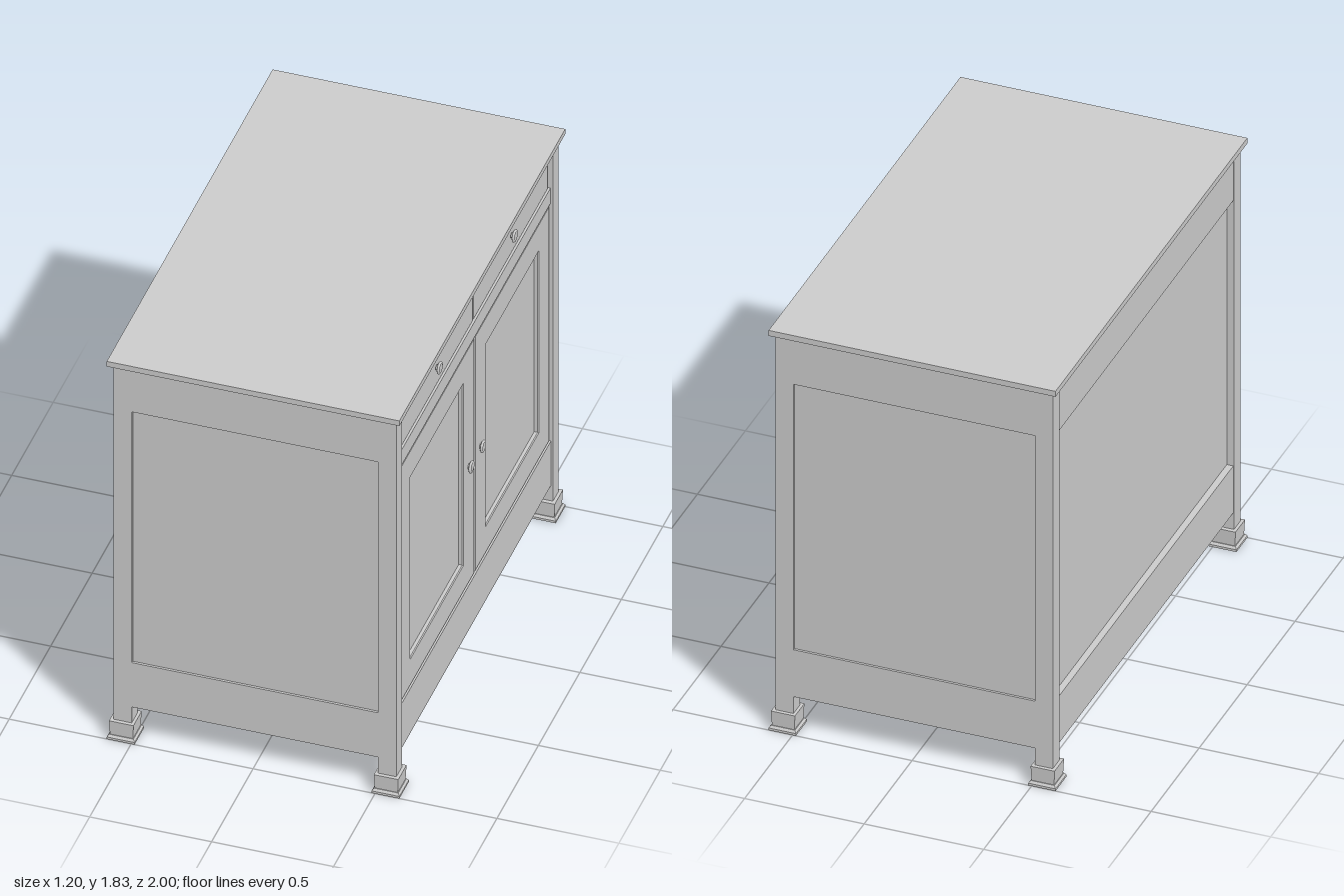
import * as THREE from 'three';

const material = new THREE.MeshStandardMaterial({ color: 0xcccccc, flatShading: true });
const smooth = new THREE.MeshStandardMaterial({ color: 0xcccccc });

function add(parent, name, geometry, mat = material) {
  const mesh = new THREE.Mesh(geometry, mat);
  mesh.name = name;
  parent.add(mesh);
  return mesh;
}

// Box given by its limits on each axis
function block(parent, name, x0, x1, y0, y1, z0, z1) {
  const mesh = add(parent, name, new THREE.BoxGeometry(x1 - x0, y1 - y0, z1 - z0));
  mesh.position.set((x0 + x1) / 2, (y0 + y1) / 2, (z0 + z1) / 2);
  return mesh;
}

// Square block whose bottom and top half-widths differ
function taperedBlock(parent, name, bottom, top, y0, y1) {
  const geometry = new THREE.CylinderGeometry(top * Math.SQRT2, bottom * Math.SQRT2, y1 - y0, 4);
  geometry.rotateY(Math.PI / 4);
  const mesh = add(parent, name, geometry);
  mesh.position.y = (y0 + y1) / 2;
}

function rectangle(Type, w, h) {
  return new Type([
    new THREE.Vector2(-w / 2, -h / 2), new THREE.Vector2(w / 2, -h / 2),
    new THREE.Vector2(w / 2, h / 2), new THREE.Vector2(-w / 2, h / 2),
  ]);
}

// Upright board with bevelled edges, facing +z, back at z = 0
function board(w, h, depth, bevel, hole) {
  const shape = rectangle(THREE.Shape, w - 2 * bevel, h - 2 * bevel);
  if (hole) shape.holes.push(rectangle(THREE.Path, hole[0] + 2 * bevel, hole[1] + 2 * bevel));
  return new THREE.ExtrudeGeometry(shape, {
    depth: depth - bevel, bevelEnabled: true, bevelSegments: 1,
    bevelSize: bevel, bevelThickness: Math.min(bevel, 0.005),
  });
}

// Round pull, turned around the z axis
function knob(parent, x, y, z) {
  const profile = [[0.012, 0], [0.012, 0.006], [0.022, 0.008], [0.027, 0.012],
    [0.025, 0.017], [0.019, 0.019], [0.016, 0.017], [0, 0.018]];
  const geometry = new THREE.LatheGeometry(profile.map(p => new THREE.Vector2(...p)), 24);
  geometry.rotateX(Math.PI / 2);
  add(parent, 'knob', geometry, smooth).position.set(x, y, z);
}

export function createModel() {
  const cabinet = new THREE.Group();
  cabinet.name = 'cabinet';

  // Carcass and worktop
  block(cabinet, 'carcass', -0.55, 0.55, 0.16, 1.805, -0.965, 0.965);
  block(cabinet, 'worktop', -0.6, 0.6, 1.805, 1.83, -1, 1);

  // Corner posts on stepped feet
  for (const sx of [-1, 1]) for (const sz of [-1, 1]) {
    const post = block(cabinet, 'cornerPost', -0.0375, 0.0375, 0.08, 1.805, -0.0335, 0.0335);
    post.position.x = sx * 0.5425;
    post.position.z = sz * 0.944;
    const foot = new THREE.Group();
    foot.name = 'foot';
    foot.position.set(sx * 0.543, 0, sz * 0.943);
    taperedBlock(foot, 'footBlock', 0.047, 0.05, 0.018, 0.085);
    taperedBlock(foot, 'footBase', 0.057, 0.057, 0, 0.01);
    taperedBlock(foot, 'footMoulding', 0.057, 0.05, 0.01, 0.02);
    cabinet.add(foot);
  }

  // Rails framing the recessed end panels
  for (const s of [-1, 1]) {
    const z0 = Math.min(s * 0.93, s * 0.975), z1 = Math.max(s * 0.93, s * 0.975);
    block(cabinet, 'endBottomRail', -0.51, 0.51, 0.16, 0.375, z0, z1);
    block(cabinet, 'endTopRail', -0.51, 0.51, 1.59, 1.805, z0, z1);
  }

  // Rails framing the deeper back panel
  block(cabinet, 'backBottomRail', -0.577, -0.53, 0.16, 0.375, -0.912, 0.912);
  block(cabinet, 'backTopRail', -0.577, -0.53, 1.59, 1.805, -0.912, 0.912);

  // Door side, built facing +z and turned to face +x
  const face = new THREE.Group();
  face.name = 'doorSide';
  face.rotation.y = Math.PI / 2;
  face.position.x = 0.55;
  cabinet.add(face);
  block(face, 'bottomRail', -0.912, 0.912, 0.16, 0.375, -0.01, 0.022);
  block(face, 'middleRail', -0.912, 0.912, 1.526, 1.6, -0.01, 0.02);

  for (const s of [-1, 1]) {
    // Framed door with a raised panel
    const door = new THREE.Group();
    door.name = s < 0 ? 'leftDoor' : 'rightDoor';
    face.add(door);
    add(door, 'doorFrame', board(0.9, 1.14, 0.018, 0.004, [0.635, 0.875]))
      .position.set(s * 0.455, 0.95, 0);
    add(door, 'doorPanel', board(0.62, 0.86, 0.009, 0.02)).position.set(s * 0.455, 0.9475, 0);
    knob(door, s * 0.07, 0.945, 0.016);

    // Drawer with a softly bevelled front
    const drawer = new THREE.Group();
    drawer.name = s < 0 ? 'leftDrawer' : 'rightDrawer';
    face.add(drawer);
    add(drawer, 'drawerFront', board(0.9, 0.2, 0.012, 0.003)).position.set(s * 0.453, 1.701, 0);
    add(drawer, 'drawerPanel', board(0.85, 0.185, 0.018, 0.015)).position.set(s * 0.453, 1.697, 0);
    knob(drawer, s * 0.452, 1.695, 0.016);
  }
  return cabinet;
}
